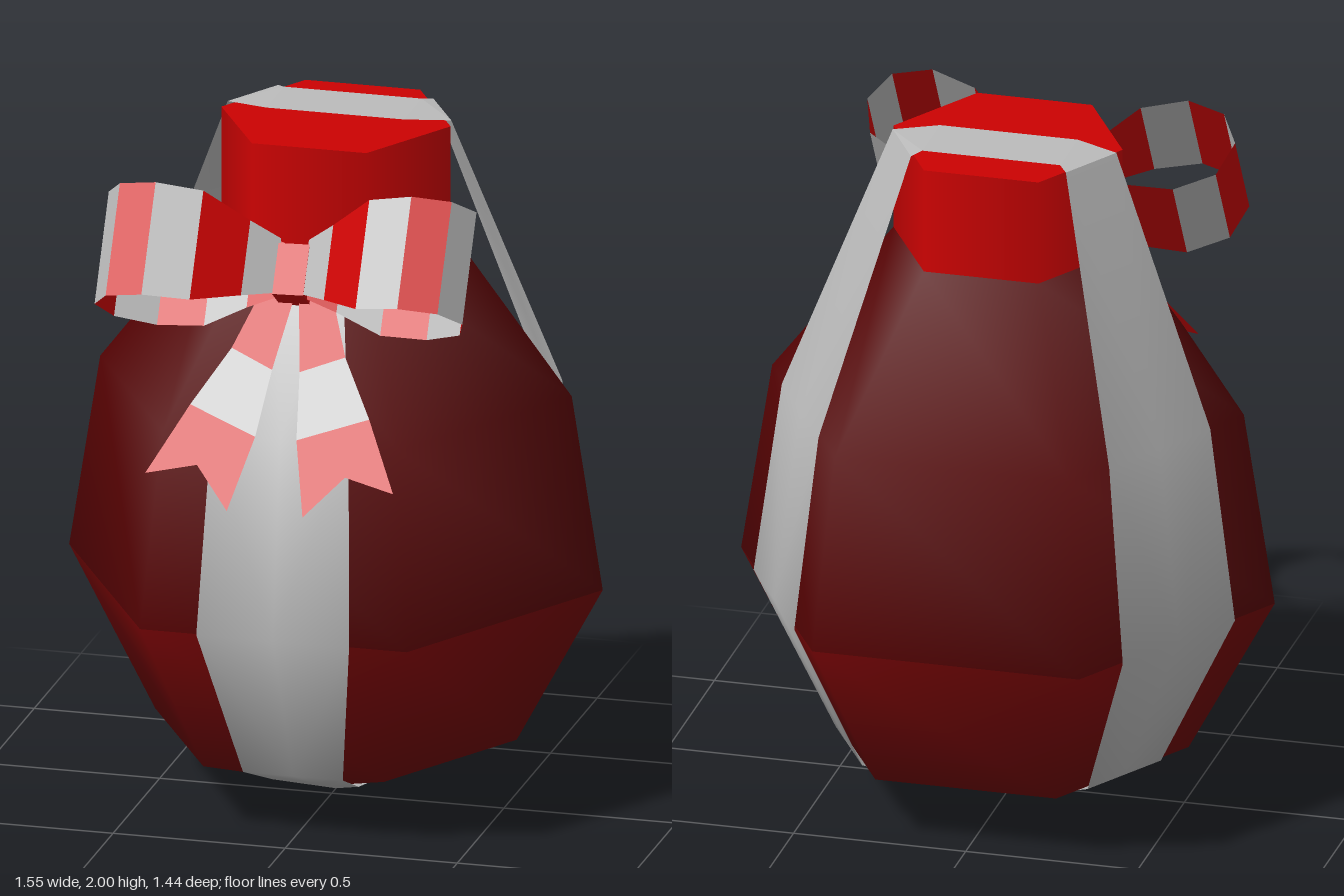
import * as THREE from 'three';

const CZ = -0.045; // body axis

function material(name, color, side = THREE.FrontSide) {
  const m = new THREE.MeshStandardMaterial({ color, side });
  m.name = name;
  return m;
}

function named(name, geometry, mat) {
  const mesh = new THREE.Mesh(geometry, mat);
  mesh.name = name;
  return mesh;
}

// Strip from rows of left, centre and right points; diagonals mirror about the centre
function strip(rows) {
  const index = [];
  for (let i = 0; i + 1 < rows.length; i++) {
    const a = i * 3, b = a + 3;
    index.push(a, b, b + 1, a, b + 1, a + 1);
    index.push(a + 1, b + 1, a + 2, b + 1, b + 2, a + 2);
  }
  const g = new THREE.BufferGeometry();
  g.setAttribute('position', new THREE.Float32BufferAttribute(rows.flat(2), 3));
  g.setIndex(index);
  g.computeVertexNormals();
  return g;
}

// Flat polygons, each fanned from its first corner
function polygons(list) {
  const pos = [];
  for (const p of list) {
    for (let i = 1; i + 1 < p.length; i++) pos.push(...p[0], ...p[i], ...p[i + 1]);
  }
  const g = new THREE.BufferGeometry();
  g.setAttribute('position', new THREE.Float32BufferAttribute(pos, 3));
  g.computeVertexNormals();
  return g;
}

export function createModel() {
  const model = new THREE.Group();
  const darkRed = material('dark red wrap', 0x590203);
  const lowerRed = material('lower wrap red', 0x720304);
  const red = material('bright red', 0xcc0202, THREE.DoubleSide);
  const silver = material('silver ribbon', 0xbcbcbc, THREE.DoubleSide);

  // Six-sided body, one smooth surface with a lighter lower half
  const profile = [[0, 0.01], [0.525, 0.19], [0.775, 0.655], [0.685, 1.22], [0.333, 1.68]];
  const bodyGeo = new THREE.LatheGeometry(profile.map(([r, y]) => new THREE.Vector2(r, y)), 6, Math.PI / 2);
  for (let i = 0; i < 6; i++) {
    bodyGeo.addGroup(i * 24, 12, 0);
    bodyGeo.addGroup(i * 24 + 12, 12, 1);
  }
  const body = named('body', bodyGeo, [lowerRed, darkRed]);
  body.position.z = CZ;
  model.add(body);

  // Neck
  const neck = named('neck', new THREE.CylinderGeometry(0.333, 0.333, 0.31, 6, 1, false, Math.PI / 2), red);
  neck.position.set(0, 1.833, CZ);
  model.add(neck);

  // Three ribbons down the faces, meeting under the body: [distance, half width, y]
  const lower = [[0.603, 0.2, 1.222], [0.679, 0.222, 0.655], [0.462, 0.145, 0.186], [0.217, 0.125, 0.086]];
  const ribbon = (name, angle, top, shift) => {
    const rows = [top, ...lower].map(([d, w, y], i) =>
      [-1, 0, 1].map((k) => [k * w + (i === 0 ? shift : 0), y, d]));
    rows.push([[-0.125, 0.056, 0.072], [0, 0, 0], [0.125, 0.056, 0.072]]);
    const mesh = named(name, strip(rows), silver);
    mesh.rotation.y = angle;
    mesh.position.z = CZ;
    model.add(mesh);
  };
  ribbon('frontRibbon', 0, [0.3, 0.1, 1.685], 0);
  ribbon('leftRibbon', Math.PI * 2 / 3, [0.3, 0.1, 1.993], -0.03);
  ribbon('rightRibbon', -Math.PI * 2 / 3, [0.3, 0.1, 1.993], 0.03);

  // Ribbon over the top of the neck, with folded ends
  const fold = (s) => [[s * 0.325, 1.993, -0.082], [s * 0.2, 2, -0.035], [s * 0.2, 2, -0.225], [s * 0.225, 1.993, -0.256]];
  const l = fold(1), r = fold(-1);
  model.add(named('topRibbon', polygons([
    [l[1], l[2], r[2], r[1]],
    l,
    [r[0], r[3], r[2], r[1]],
  ]), silver));

  // Bow: local y runs up the slope, local z points away from it; slightly rolled
  const bow = new THREE.Group();
  bow.name = 'bow';
  bow.position.set(-0.008, 1.66, 0.36);
  bow.rotation.set(-0.611, 0, 0.03);
  model.add(bow);

  const knot = named('knot', new THREE.BoxGeometry(0.09, 0.15, 0.1), red);
  knot.position.set(0, -0.01, 0.005);
  bow.add(knot);

  // Striped loops: [x, z, half width]
  const loop = [
    [0.04, 0.05, 0.08], [0.12, 0.11, 0.11], [0.24, 0.21, 0.16], [0.37, 0.25, 0.165],
    [0.48, 0.22, 0.165], [0.532, 0.13, 0.165], [0.5, 0.02, 0.165], [0.39, -0.045, 0.165],
    [0.255, -0.045, 0.16], [0.13, -0.01, 0.11], [0.04, 0.01, 0.08],
  ];
  // Forked tails, as pairs of outer and inner edge points
  const tail = [[[0.09, 1.63], [0.005, 1.6]], [[0.165, 1.455], [0.04, 1.41]], [[0.26, 1.31], [0.06, 1.245]]];
  const [outer, notch, inner] = [[0.36, 1.135], [0.215, 1.165], [0.11, 1.06]];

  for (const [side, s] of [['left', 1], ['right', -1]]) {
    const stripes = [[], []];
    for (let i = 0; i + 1 < loop.length; i++) {
      const [x0, z0, h0] = loop[i], [x1, z1, h1] = loop[i + 1];
      stripes[i % 2].push([[s * x0, -h0, z0], [s * x1, -h1, z1], [s * x1, h1, z1], [s * x0, h0, z0]]);
    }
    bow.add(named(side + 'LoopSilverStripes', polygons(stripes[0]), silver));
    bow.add(named(side + 'LoopRedStripes', polygons(stripes[1]), red));

    const face = (...pts) => pts.map(([x, y]) => [s * x, y, 0.435 - 0.65 * (y - 1.5)]);
    const band = (i) => face(tail[i][1], tail[i][0], tail[i + 1][0], tail[i + 1][1]);
    model.add(named(side + 'TailRed', polygons([
      band(0),
      face(notch, inner, tail[2][1], tail[2][0], outer),
    ]), red));
    model.add(named(side + 'TailSilver', polygons([band(1)]), silver));
  }
  return model;
}
